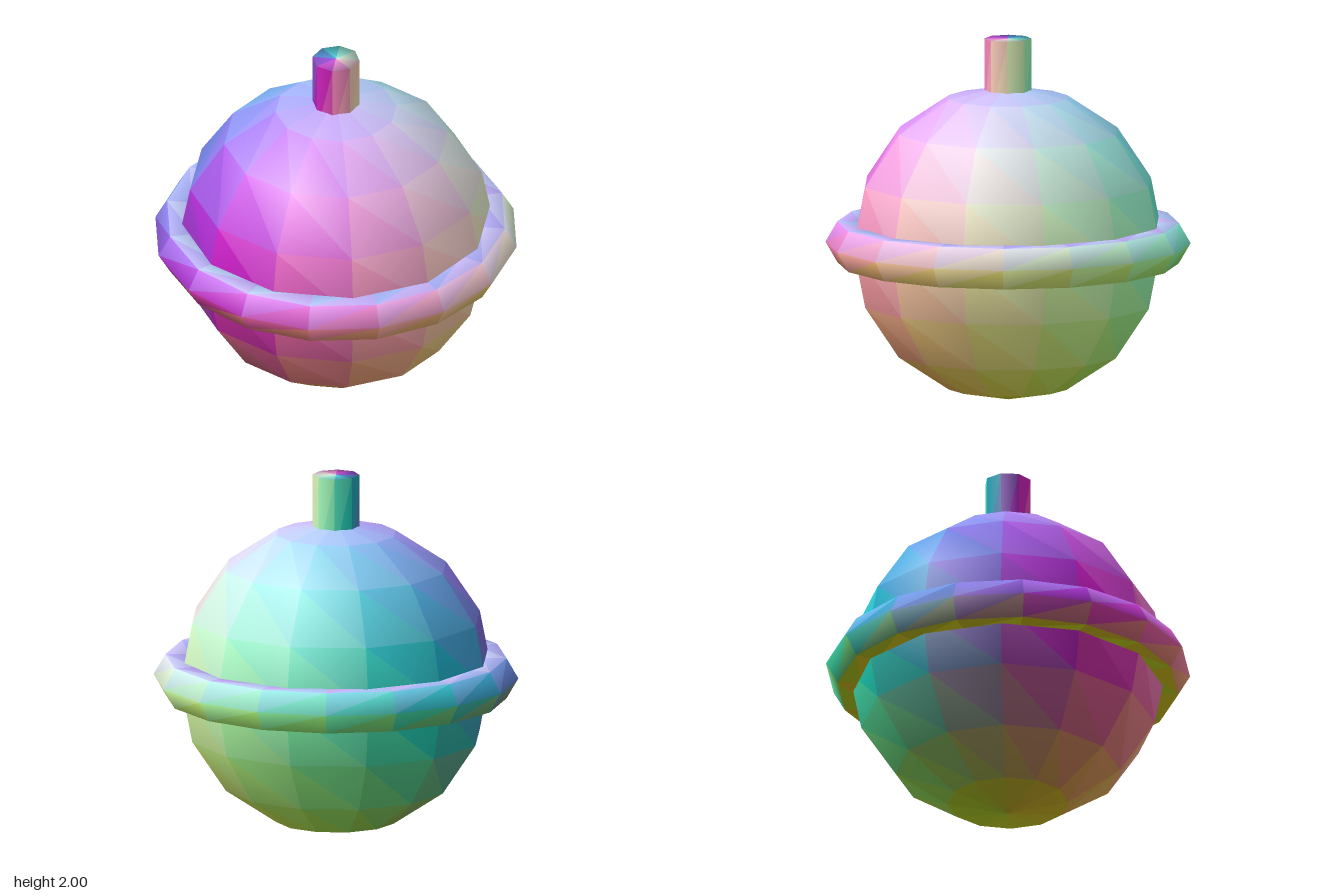
import * as THREE from 'three';

const U = 0.87; // ball radius, also the height of its centre

// Colours every facet by the direction it faces: red to +x, green to -z, blue to +y
function tintFacets(source) {
  const geometry = source.toNonIndexed();
  geometry.clearGroups();
  const n = geometry.attributes.normal;
  const materials = [];
  const facing = new THREE.Vector3();
  const corner = new THREE.Vector3();
  for (let i = 0; i < n.count; i += 3) {
    facing.set(0, 0, 0);
    for (let j = 0; j < 3; j++) facing.add(corner.fromBufferAttribute(n, i + j));
    facing.normalize().multiplyScalar(0.5);
    geometry.addGroup(i, 3, materials.length);
    const color = new THREE.Color(0.5 + facing.x, 0.5 - facing.z, 0.5 + facing.y);
    materials.push(new THREE.MeshStandardMaterial({ color }));
  }
  return new THREE.Mesh(geometry, materials);
}

export function createModel() {
  const group = new THREE.Group();

  const add = (name, geometry, y) => {
    const mesh = tintFacets(geometry);
    mesh.name = name;
    mesh.position.y = y;
    group.add(mesh);
  };

  // Low-poly ball with smooth shading
  add('ball', new THREE.SphereGeometry(U, 12, 8), U);

  // Hexagonal-section ring around the middle
  add('ring', new THREE.TorusGeometry(U, 0.13, 6, 16).rotateX(Math.PI / 2), U);

  // Eight-sided stem, sunk into the ball and running up to the top
  const bottom = 1.57, top = 2;
  const stem = new THREE.CylinderGeometry(0.13, 0.13, top - bottom, 8);
  // The end caps share the outward normals of the wall, so the rim shades softly
  const p = stem.attributes.position;
  const n = stem.attributes.normal;
  for (let i = 0; i < p.count; i++) {
    const r = Math.hypot(p.getX(i), p.getZ(i));
    if (r > 0.01) n.setXYZ(i, p.getX(i) / r, 0, p.getZ(i) / r);
  }
  add('stem', stem, (top + bottom) / 2);

  return group;
}
